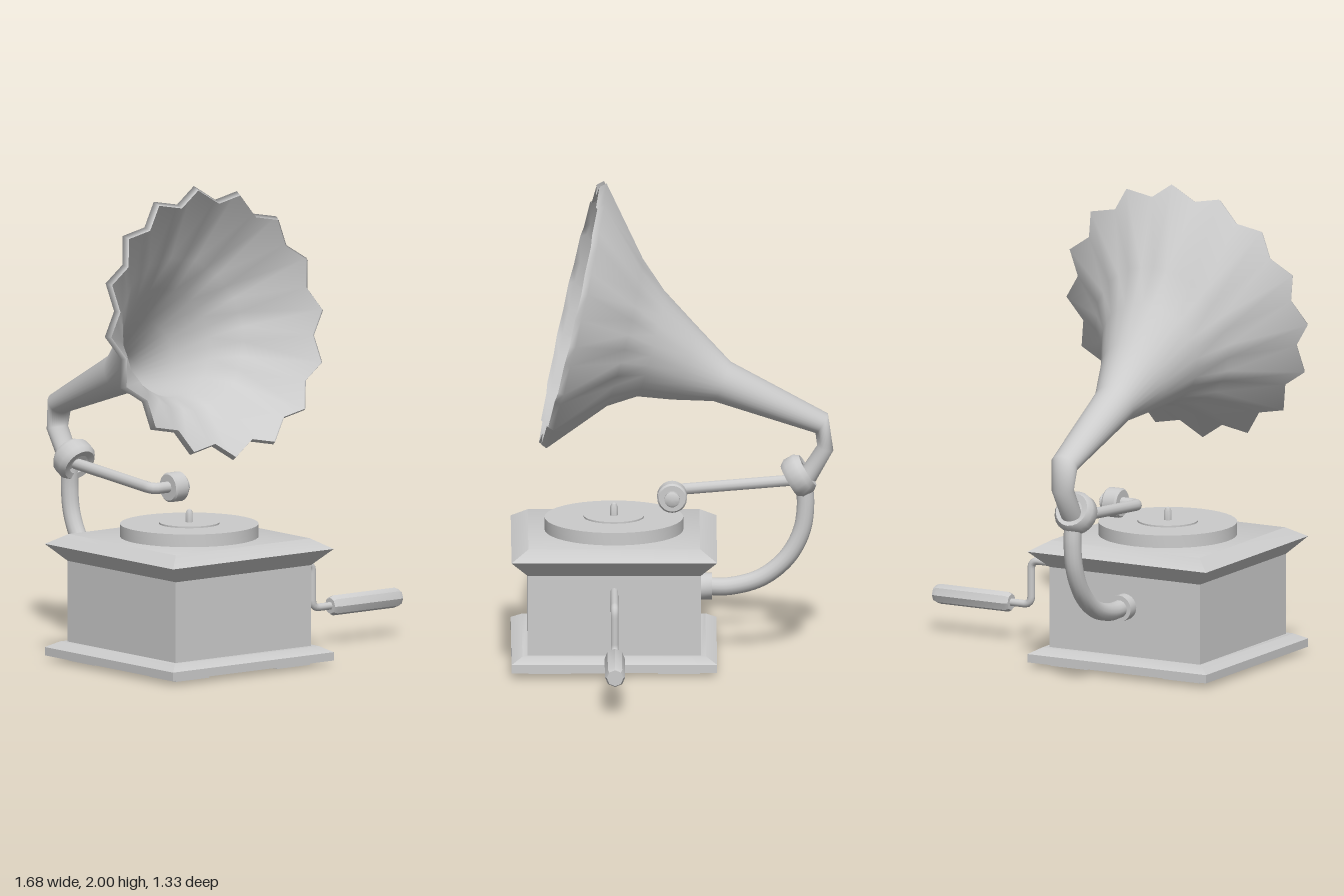
import * as THREE from 'three';
import { toCreasedNormals } from 'three/addons/utils/BufferGeometryUtils.js';

const CX = -0.265, CZ = 0.24; // cabinet centre
const material = new THREE.MeshStandardMaterial({ color: 0xcccccc });
const thin = new THREE.MeshStandardMaterial({ color: 0xcccccc, side: THREE.DoubleSide });
const V = (x, y, z) => new THREE.Vector3(x, y, z);

function add(parent, name, geometry, position = V(0, 0, 0), mat = material) {
  const mesh = new THREE.Mesh(geometry, mat);
  mesh.name = name;
  mesh.position.copy(position);
  parent.add(mesh);
  return mesh;
}

// Turned part from [radius, height] pairs, bottom to top
function turned(profile, sides = 32, phi = 0) {
  const pts = profile.map(([r, y]) => new THREE.Vector2(r, y));
  return toCreasedNormals(new THREE.LatheGeometry(pts, sides, phi), 0.7);
}

// Turned part lying along a direction
function addAlong(parent, name, profile, position, dir, sides) {
  const mesh = add(parent, name, turned(profile, sides), position);
  mesh.quaternion.setFromUnitVectors(V(0, 1, 0), dir.normalize());
  return mesh;
}

// Rod through points, with rounded corners
function rod(points, radius, bend, segments = 48) {
  const path = new THREE.CurvePath();
  let from = points[0];
  for (let i = 1; i < points.length - 1; i++) {
    const p = points[i];
    const a = p.clone().add(points[i - 1].clone().sub(p).setLength(bend));
    const b = p.clone().add(points[i + 1].clone().sub(p).setLength(bend));
    path.add(new THREE.LineCurve3(from, a));
    path.add(new THREE.QuadraticBezierCurve3(a, p, b));
    from = b;
  }
  path.add(new THREE.LineCurve3(from, points[points.length - 1]));
  return new THREE.TubeGeometry(path, segments, radius, 12);
}

// Fluted horn skinned over rings: [top z, top y, bottom z, bottom y, half width, flute depth]
function hornGeometry(rings, flutes) {
  const n = flutes * 2, pos = [], index = [];
  rings.forEach(([tz, ty, bz, by, w, flute], i) => {
    for (let j = 0; j < n; j++) {
      const a = (j / n) * Math.PI * 2;
      const k = j % 2 ? 1 - flute : 1;
      const c = Math.cos(a) * k, s = Math.sin(a) * k;
      pos.push(CX + c * w, (ty + by) / 2 + s * (ty - by) / 2, (tz + bz) / 2 + s * (tz - bz) / 2);
      if (i < rings.length - 1) {
        const p = i * n + j, q = i * n + (j + 1) % n;
        index.push(p, q, p + n, q, q + n, p + n);
      }
    }
  });
  const g = new THREE.BufferGeometry();
  g.setAttribute('position', new THREE.Float32BufferAttribute(pos, 3));
  g.setIndex(index);
  g.computeVertexNormals();
  return g;
}

export function createModel() {
  const model = new THREE.Group();
  model.name = 'gramophone';

  // Square cabinet with moulded plinth and lid
  const cabinet = new THREE.Group();
  cabinet.name = 'cabinet';
  cabinet.position.set(CX, 0, CZ);
  model.add(cabinet);
  const steps = [[0, 0.02], [0.425, 0.02], [0.425, 0.055], [0.38, 0.08], [0.358, 0.08],
    [0.358, 0.418], [0.425, 0.487], [0.355, 0.53], [0, 0.53]];
  add(cabinet, 'cabinetBody', turned(steps.map(([h, y]) => [h * Math.SQRT2, y]), 4, Math.PI / 4));

  // L-shaped corner feet
  const o = 0.355, l = 0.175, w = 0.06;
  const foot = new THREE.Shape([[o, o], [o - l, o], [o - l, o - w], [o - w, o - w], [o - w, o - l], [o, o - l]]
    .map(([x, y]) => new THREE.Vector2(x, y)));
  const footGeo = new THREE.ExtrudeGeometry(foot, { depth: 0.02, bevelEnabled: false });
  footGeo.rotateX(Math.PI / 2).translate(0, 0.02, 0);
  for (let i = 0; i < 4; i++) add(cabinet, 'foot', footGeo).rotation.y = i * Math.PI / 2;

  // Turntable, centre label and spindle
  add(cabinet, 'turntable', turned([[0, 0.53], [0.287, 0.53], [0.287, 0.583], [0, 0.583]], 40));
  add(cabinet, 'label', turned([[0, 0.58], [0.125, 0.58], [0.125, 0.59], [0, 0.59]]));
  add(cabinet, 'spindle', turned([[0.016, 0.585], [0.016, 0.625], [0.01, 0.64], [0, 0.645]], 12));

  // Side crank
  add(model, 'crankRod', rod([V(0.07, 0.35, CZ), V(0.386, 0.35, CZ), V(0.386, 0.163, CZ), V(0.5, 0.163, CZ)], 0.016, 0.035));
  addAlong(model, 'crankHandle', [[0, 0], [0.034, 0], [0.042, 0.015], [0.042, 0.34], [0.034, 0.36], [0, 0.36]],
    V(0.48, 0.163, CZ), V(1, 0, 0), 8);

  // Rear socket and curved support pipe
  addAlong(model, 'pipeSocket', [[0, 0], [0.055, 0], [0.055, 0.05], [0, 0.05]], V(CX, 0.288, -0.115), V(0, 0, -1), 20);
  const bend = new THREE.CatmullRomCurve3([V(CX, 0.288, -0.13), V(CX, 0.288, -0.24), V(CX, 0.325, -0.37),
    V(CX, 0.41, -0.475), V(CX, 0.52, -0.535), V(CX, 0.63, -0.552), V(CX, 0.74, -0.545)]);
  add(model, 'supportPipe', new THREE.TubeGeometry(bend, 32, 0.037, 14));

  // Tilted collar joining pipe, horn and arm
  const axis = V(0, 0.5, -0.86);
  const joint = V(CX, 0.757, -0.523);
  addAlong(model, 'collar', [[0.045, -0.038], [0.072, -0.044], [0.088, -0.022], [0.088, 0.022], [0.072, 0.044], [0.045, 0.038], [0.045, -0.038]],
    joint, axis.clone(), 20);
  addAlong(model, 'collarCore', [[0, -0.025], [0.05, -0.025], [0.05, 0.025], [0, 0.025]], joint, axis.clone(), 20);

  // Tone arm, sound box and its knob
  add(model, 'toneArm', rod([V(CX, 0.74, -0.52), V(CX, 0.697, 0), V(-0.17, 0.697, 0)], 0.024, 0.035));
  addAlong(model, 'soundBox', [[0, 0], [0.055, 0], [0.062, 0.008], [0.062, 0.062], [0.055, 0.07], [0, 0.07]],
    V(-0.187, 0.695, 0), V(1, 0, 0), 20);
  addAlong(model, 'soundBoxKnob', [[0.032, 0], [0.032, 0.025], [0.025, 0.03], [0, 0.03]], V(-0.12, 0.695, 0), V(1, 0, 0), 14);

  // Horn, from its neck to the scalloped mouth
  const rings = [
    [-0.595, 0.735, -0.53, 0.78, 0.045, 0],
    [-0.667, 0.865, -0.6, 0.885, 0.05, 0],
    [-0.645, 1.02, -0.593, 0.94, 0.06, 0],
    [-0.243, 1.24, -0.17, 1.077, 0.09, 0],
    [-0.1, 1.395, 0.0, 1.085, 0.15, 0],
    [0.03, 1.54, 0.145, 1.1, 0.225, 0.005],
    [0.12, 1.68, 0.275, 1.06, 0.32, 0.025],
    [0.27, 2.0, 0.53, 0.885, 0.575, 0.1],
    [0.3, 1.985, 0.55, 0.9, 0.56, 0.1],
  ];
  add(model, 'horn', hornGeometry(rings, 16), V(0, 0, 0), thin);

  return model;
}
